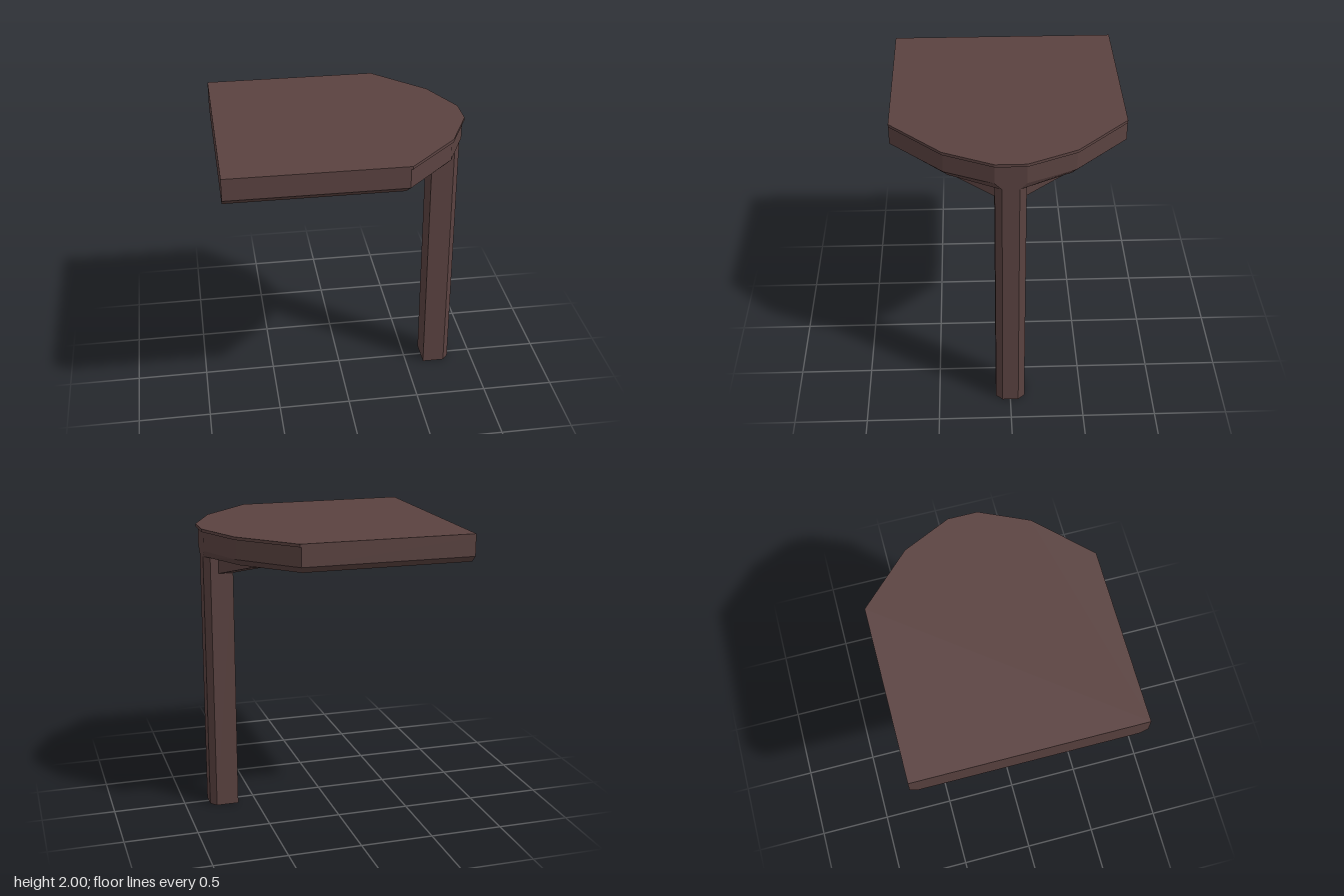
import * as THREE from 'three';

// Skin convex rings of [x, y, z] points, each ring counter-clockwise seen from the last one, with caps
function loft(rings) {
  const pos = [];
  const tri = (a, b, c) => pos.push(...a, ...b, ...c);
  const n = rings[0].length;
  for (let k = 0; k + 1 < rings.length; k++) {
    const lo = rings[k], hi = rings[k + 1];
    for (let i = 0; i < n; i++) {
      const j = (i + 1) % n;
      tri(lo[i], lo[j], hi[j]);
      tri(lo[i], hi[j], hi[i]);
    }
  }
  const first = rings[0], last = rings[rings.length - 1];
  for (let i = 1; i + 1 < n; i++) {
    tri(first[0], first[i + 1], first[i]);
    tri(last[0], last[i], last[i + 1]);
  }
  const geometry = new THREE.BufferGeometry();
  geometry.setAttribute('position', new THREE.Float32BufferAttribute(pos, 3));
  geometry.computeVertexNormals();
  return geometry;
}

// Horizontal outline at height y, mirrored from its +z half
function outline(y, half) {
  const back = half.map(([x, z]) => [x, -z]).reverse();
  return [...half, ...back].map(([x, z]) => [x, y, z]);
}

export function createModel() {
  const model = new THREE.Group();
  model.name = 'halfTable';
  const wood = new THREE.MeshStandardMaterial({ color: 0x5a4240, flatShading: true });
  wood.name = 'dark wood';

  const add = (name, rings) => {
    const mesh = new THREE.Mesh(loft(rings), wood);
    mesh.name = name;
    model.add(mesh);
  };

  // Thin top sheet, overhanging the faceted end
  const sheet = [[-0.84, 0.77], [0.35, 0.77], [0.69, 0.425], [0.84, 0.1]];
  add('topSheet', [outline(1.98, sheet), outline(2, sheet)]);

  // Thick slab with a bevelled lower edge; the straight end stays square
  const rim = [[-0.84, 0.77], [0.34, 0.77], [0.68, 0.42], [0.825, 0.1]];
  const base = [[-0.84, 0.72], [0.32, 0.72], [0.65, 0.39], [0.825, 0.055]];
  add('slab', [outline(1.805, base), outline(1.85, rim), outline(1.98, rim)]);

  // Single leg with chamfered outer corners
  const leg = [[0.63, 0.1], [0.785, 0.1], [0.825, 0.055]];
  add('leg', [outline(0, leg), outline(1.805, leg)]);

  // Tapered brackets running from the leg along the rim
  const section = (x, y, z) => [[x, y, z], [x + 0.1, y, z], [x + 0.1, 1.81, z], [x, 1.81, z]];
  add('leftBracket', [section(0.63, 1.69, 0.1), section(0.48, 1.79, 0.42)]);
  add('rightBracket', [section(0.48, 1.79, -0.42), section(0.63, 1.69, -0.1)]);

  return model;
}
